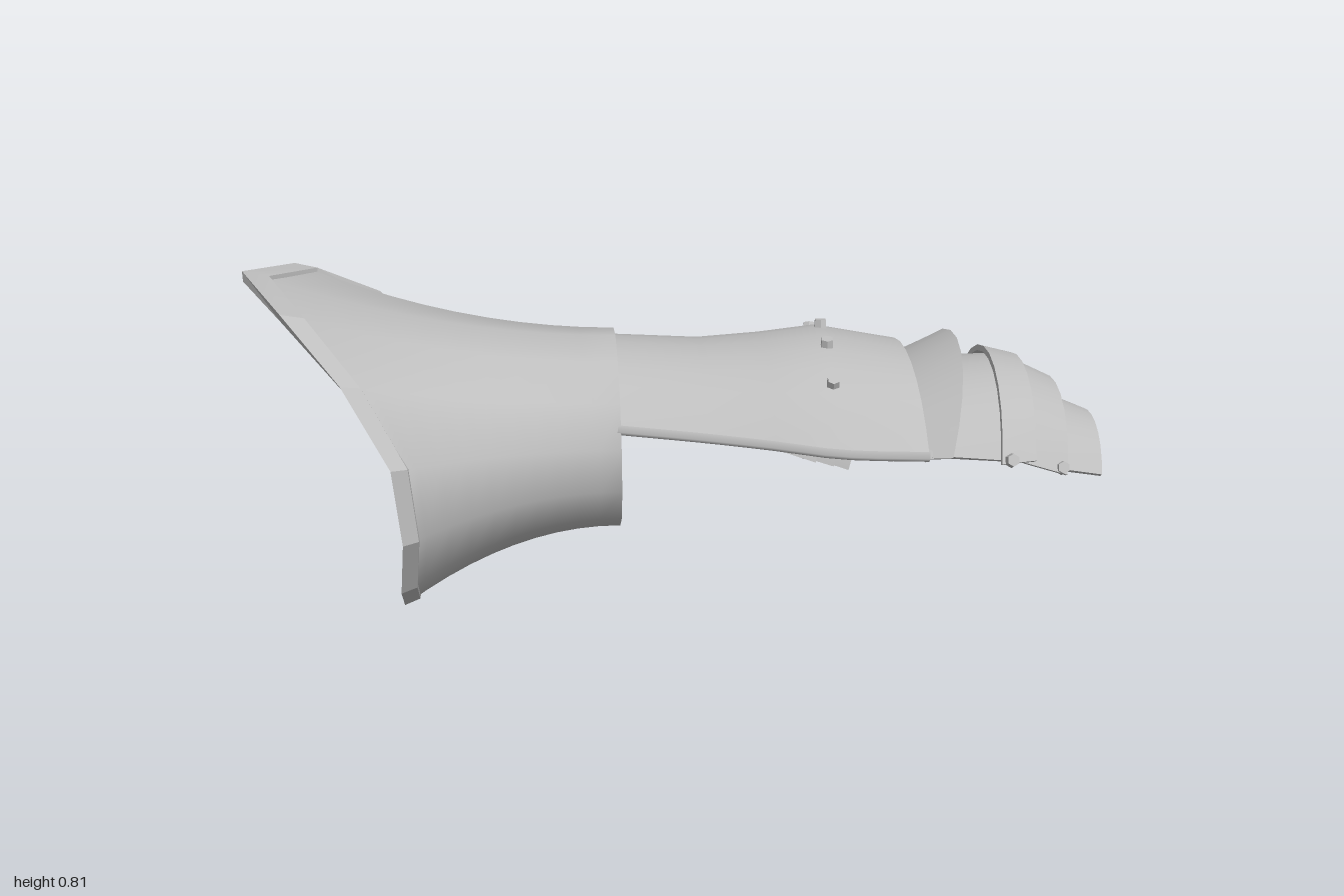
import * as THREE from 'three';
import { toCreasedNormals } from 'three/addons/utils/BufferGeometryUtils.js';

const steel = new THREE.MeshStandardMaterial({ color: 0xbebebe, side: THREE.DoubleSide });
steel.name = 'steel grey';

const V = (x, y, z) => new THREE.Vector3(x, y, z);

// Skin rows of points; every row is a closed loop
function loft(rows, crease, closeRows = false) {
  const n = rows[0].length, m = rows.length, index = [];
  for (let i = 0; i < (closeRows ? m : m - 1); i++) {
    for (let j = 0; j < n; j++) {
      const k = (j + 1) % n, i2 = (i + 1) % m;
      const a = i * n + j, b = i2 * n + j, c = i * n + k, d = i2 * n + k;
      index.push(a, c, b, b, c, d);
    }
  }
  const g = new THREE.BufferGeometry().setFromPoints(rows.flat());
  g.setIndex(index);
  return toCreasedNormals(g, crease);
}

function add(parent, name, geometry) {
  const mesh = new THREE.Mesh(geometry, steel);
  mesh.name = name;
  parent.add(mesh);
  return mesh;
}

// Point on an arched station [x, zCentre, halfWidth, yEdge, yTop]; s runs -1..1
function archPoint([x, zc, w, yEdge, yTop], s, inset, lean, skew) {
  const h = yTop - yEdge, R = (w * w + h * h) / (2 * h);
  const a = s * 2 * Math.atan(h / w);
  const y = yTop - R + (R - inset) * Math.cos(a);
  const dz = (R - inset) * Math.sin(a);
  return V(x - lean * (yTop - y) + skew * dz, y, zc + dz);
}

// Bent sheet with real thickness; end rows collapse to the mid line as caps
function archPlate(stations, { lean = 0.1, skew = 0.02, thick = 0.014, segs = 10 } = {}) {
  const rows = stations.map((st) => {
    const loop = [];
    for (let j = 0; j <= segs; j++) loop.push(archPoint(st, -1 + 2 * j / segs, 0, lean, skew));
    for (let j = segs; j >= 0; j--) loop.push(archPoint(st, -1 + 2 * j / segs, thick, lean, skew));
    return loop;
  });
  const cap = (r) => r.map((p, k) => p.clone().lerp(r[r.length - 1 - k], 0.5));
  return loft([cap(rows[0]), ...rows, cap(rows[rows.length - 1])], 0.6);
}

// Small hexagonal stud pointing along a direction
function stud(parent, name, pos, dir, r = 0.017) {
  const m = add(parent, name, new THREE.CylinderGeometry(r * 0.85, r, 0.03, 6).toNonIndexed());
  m.geometry.computeVertexNormals();
  m.position.copy(pos);
  m.quaternion.setFromUnitVectors(V(0, 1, 0), dir.clone().normalize());
}

export function createModel() {
  const root = new THREE.Group();
  root.name = 'gauntlet';

  // Flared cuff: elliptical wrist opening lofted to a pointed rim
  const rimX = [-1, -0.88, -0.73, -0.62, -0.605, -0.63, -0.65, -0.67, -0.69, -0.70, -0.705, -0.69, -0.79, -0.92];
  const N = rimX.length;
  const cuffPoint = (j, t, out = 0) => {
    const a = j / N * Math.PI * 2, f = t * t;
    const wz = 0.05 + 0.265 * Math.sin(a), wy = 0.41 + 0.232 * Math.cos(a);
    const rz = 0.09 + 0.42 * Math.sin(a), ry = 0.41 + 0.405 * Math.cos(a);
    const wx = -0.15 + 0.075 * (wz - 0.05);
    return V(
      THREE.MathUtils.lerp(wx, rimX[j], t),
      THREE.MathUtils.lerp(wy, ry, f) + out * Math.cos(a),
      THREE.MathUtils.lerp(wz, rz, f) + out * Math.sin(a));
  };
  const cuffRows = [];
  for (let i = 0; i <= 10; i++) cuffRows.push(rimX.map((_, j) => cuffPoint(j, 1 - i / 10)));
  add(root, 'cuff', loft(cuffRows, 0.9));

  // Raised band around the rim
  const section = [[0.93, 0.01], [0.93, -0.02], [1, -0.025], [1, 0]];
  add(root, 'cuffRim', loft(section.map(([t, o]) => rimX.map((_, j) => cuffPoint(j, t, o))), 0.2, true));

  // Plate over the back of the hand, with trim along both lower edges
  const hand = [
    [-0.155, 0.035, 0.245, 0.5, 0.62],
    [0.05, 0.03, 0.265, 0.485, 0.607],
    [0.2, 0.03, 0.285, 0.475, 0.62],
    [0.34, 0.02, 0.318, 0.465, 0.633],
    [0.54, 0.01, 0.32, 0.455, 0.59],
  ];
  const handBend = { lean: 0, skew: 0.065, thick: 0.008 };
  add(root, 'handPlate', archPlate(hand, handBend));
  for (const s of [-1, 1]) {
    const pts = hand.map((st) => archPoint(st, s, 0, 0, handBend.skew));
    add(root, 'handEdgeTrim', new THREE.TubeGeometry(new THREE.CatmullRomCurve3(pts), 12, 0.012, 4));
  }
  for (const [x, z] of [[0.325, -0.2], [0.34, -0.055], [0.345, 0.08], [0.35, 0.21]]) {
    const dz = z - 0.02, y = 0.248 + Math.sqrt(0.385 ** 2 - dz * dz);
    stud(root, 'handStud', V(x, y + 0.002, z), V(0, y - 0.248, dz));
  }

  // Overlapping knuckle and finger plates
  const fingers = [
    ['knucklePlate', [0.51, 0.01, 0.26, 0.42, 0.545], [0.66, 0.01, 0.305, 0.445, 0.62], 0.28],
    ['fingerPlate', [0.62, 0.01, 0.265, 0.43, 0.55], [0.76, 0.01, 0.265, 0.42, 0.558], 0.1],
    ['fingerRidge', [0.74, 0.01, 0.285, 0.42, 0.58], [0.82, 0.01, 0.265, 0.42, 0.56], 0.08],
    ['fingerPlate', [0.8, 0.01, 0.255, 0.41, 0.555], [0.905, 0.01, 0.235, 0.37, 0.505], 0.1],
    ['fingertipPlate', [0.88, 0.01, 0.21, 0.375, 0.468], [1, 0.01, 0.17, 0.34, 0.42], 0.12],
  ];
  for (const [name, a, b, lean] of fingers) add(root, name, archPlate([a, b], { lean }));

  // Hinge studs on both sides of the fingers
  for (const [x, y, w] of [[0.56, 0.44, 0.275], [0.755, 0.43, 0.285], [0.885, 0.385, 0.228]])
    for (const s of [-1, 1]) stud(root, 'hingeStud', V(x, y, 0.01 + s * w), V(0, 0.5, s));

  // Thumb: three shrinking arches in their own tilted frame
  const thumb = new THREE.Group();
  thumb.name = 'thumb';
  const along = V(0.335, -0.21, -0.19).normalize();
  const across = V(0.49, 0, 0.87);
  const up = across.clone().cross(along).normalize();
  across.crossVectors(along, up);
  thumb.quaternion.setFromRotationMatrix(new THREE.Matrix4().makeBasis(along, up, across));
  thumb.position.set(0.08, 0.31, -0.245);
  const L = 0.4387;
  const thumbPlates = [
    [[0, 0, 0.178, 0, 0.145], [0.6 * L, 0, 0.153, 0, 0.128]],
    [[0.54 * L, 0, 0.135, 0, 0.115], [0.82 * L, 0, 0.115, 0, 0.1]],
    [[0.76 * L, 0, 0.1, 0, 0.092], [L, 0, 0.087, 0, 0.082]],
  ];
  for (const p of thumbPlates)
    add(thumb, 'thumbPlate', archPlate(p, { lean: 0, skew: 0, thick: 0.01, segs: 8 }));
  root.add(thumb);

  return root;
}
